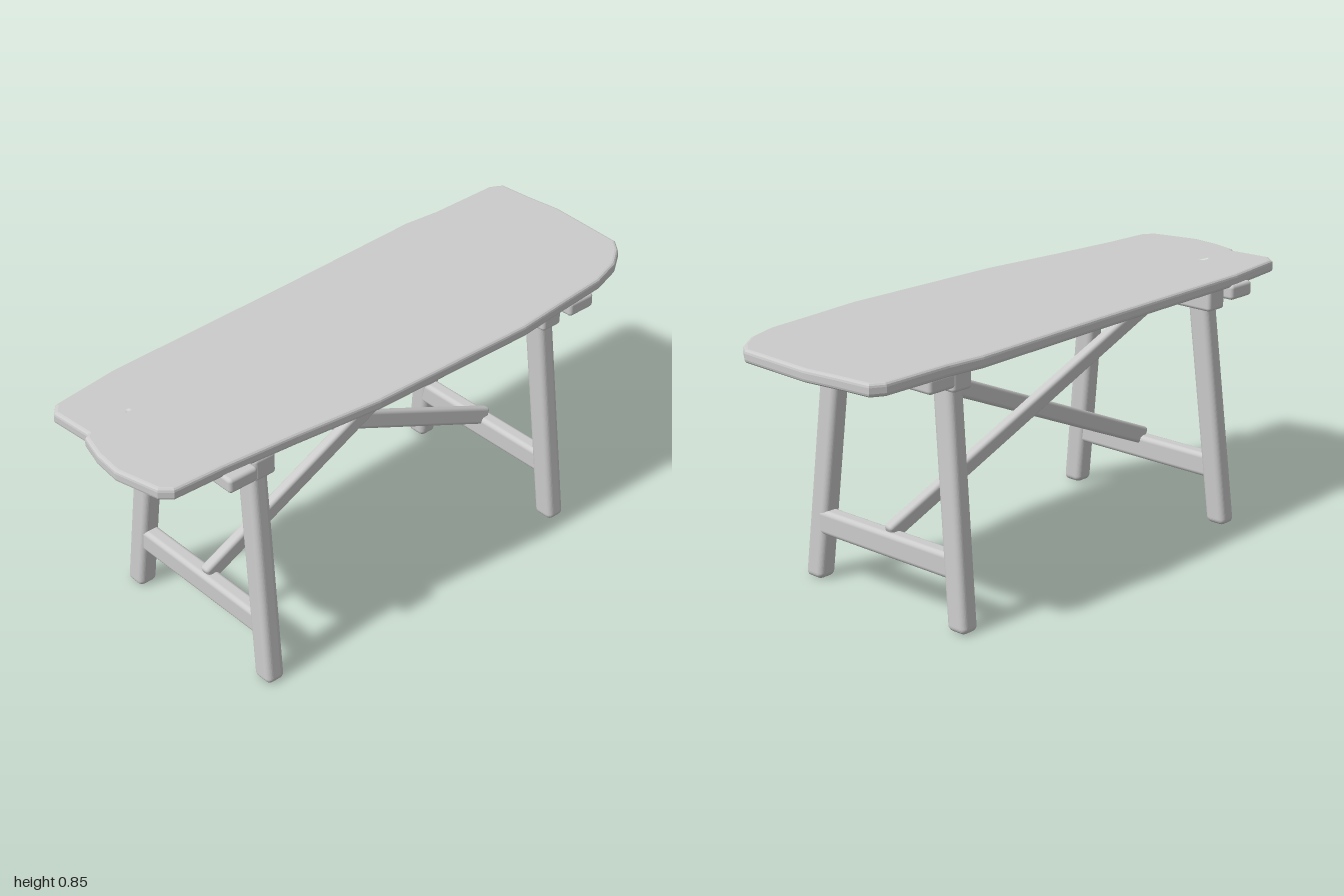
import * as THREE from 'three';
import { RoundedBoxGeometry } from 'three/addons/geometries/RoundedBoxGeometry.js';

const wood = new THREE.MeshStandardMaterial({ color: 0xcccccc });
const V = (x, y, z) => new THREE.Vector3(x, y, z);

function add(group, name, geometry) {
  const mesh = new THREE.Mesh(geometry, wood);
  mesh.name = name;
  group.add(mesh);
  return mesh;
}

// Rounded block given by its low and high corners
function block(group, name, lo, hi, radius = 0.012) {
  const size = hi.clone().sub(lo);
  const mesh = add(group, name, new RoundedBoxGeometry(size.x, size.y, size.z, 3, radius));
  mesh.position.copy(lo).add(hi).multiplyScalar(0.5);
  return mesh;
}

// Splayed leg: an upright rounded post sheared so that foot and head stay level
function leg(group, name, foot, head) {
  const height = head.y - foot.y;
  const geometry = new RoundedBoxGeometry(0.068, height, 0.074, 4, 0.02);
  geometry.translate(0, height / 2, 0);
  const pos = geometry.attributes.position;
  for (let i = 0; i < pos.count; i++) {
    const t = pos.getY(i) / height;
    pos.setX(i, pos.getX(i) * (1 - 0.06 * t) + THREE.MathUtils.lerp(foot.x, head.x, t));
    pos.setZ(i, pos.getZ(i) * (1 + 0.06 * t) + THREE.MathUtils.lerp(foot.z, head.z, t));
  }
  geometry.computeVertexNormals();
  add(group, name, geometry);
}

// Straight bar between two points, its broad face towards the front
function bar(group, name, a, b, depth, thickness) {
  const dir = b.clone().sub(a);
  const geometry = new RoundedBoxGeometry(dir.length(), thickness, depth, 3, 0.012);
  const mesh = add(group, name, geometry);
  mesh.position.copy(a).add(b).multiplyScalar(0.5);
  mesh.quaternion.setFromUnitVectors(V(1, 0, 0), dir.normalize());
}

// Rough-sawn plank with worn corners and a knot hole
function plank(group) {
  const outline = [
    [-0.96, -0.25], [-0.93, -0.285], [-0.7, -0.315], [0, -0.335], [0.55, -0.357], [0.68, -0.345],
    [0.93, -0.345], [0.975, -0.32], [0.985, -0.2], [1, -0.08], [0.985, 0.19], [0.95, 0.235],
    [0.88, 0.285], [0.77, 0.32], [0.6, 0.335], [0.4, 0.355], [-0.2, 0.345], [-0.5, 0.312],
    [-0.75, 0.29], [-0.93, 0.282], [-0.965, 0.25], [-1, 0.1], [-0.99, 0], [-0.965, -0.09], [-0.95, -0.1],
  ];
  const knot = [[-0.82, -0.1], [-0.8, -0.13], [-0.775, -0.132], [-0.735, -0.103], [-0.75, -0.092]];
  const points = (list) => list.map(([x, z]) => new THREE.Vector2(x, -z));
  const shape = new THREE.Shape(points(outline));
  shape.holes.push(new THREE.Path(points(knot)));
  const bevel = 0.012;
  const geometry = new THREE.ExtrudeGeometry(shape, {
    depth: 0.042 - 2 * bevel, bevelThickness: bevel, bevelSize: bevel, bevelOffset: -bevel, bevelSegments: 3,
  });
  geometry.rotateX(-Math.PI / 2);
  geometry.translate(0, 0.808 + bevel, 0);
  // Slight warp: the left end sags a little
  const pos = geometry.attributes.position;
  for (let i = 0; i < pos.count; i++) pos.setY(i, pos.getY(i) + 0.004 * pos.getX(i));
  geometry.computeVertexNormals();
  add(group, 'tableTop', geometry);
}

export function createModel() {
  const group = new THREE.Group();
  plank(group);

  // Trestles: two splayed legs, head rail, low stretcher and a batten outside
  const trestles = [
    { name: 'right', side: -1, feet: [-0.635, -0.635], head: -0.612 },
    { name: 'left', side: 1, feet: [0.598, 0.612], head: 0.58 },
  ];
  for (const { name, side, feet, head } of trestles) {
    const trestle = new THREE.Group();
    trestle.name = name + 'Trestle';
    group.add(trestle);

    leg(trestle, 'frontLeg', V(feet[0], 0, 0.32), V(head, 0.79, 0.233));
    leg(trestle, 'backLeg', V(feet[1], 0, -0.32), V(head, 0.79, -0.233));
    block(trestle, 'headRail', V(head - 0.04, 0.738, -0.3), V(head + 0.04, 0.815, 0.3));
    const low = (feet[0] + feet[1]) / 2 - side * 0.005;
    block(trestle, 'stretcher', V(low - 0.028, 0.155, -0.295), V(low + 0.028, 0.236, 0.295), 0.016);
    const batten = side < 0 ? -0.712 : 0.688;
    block(trestle, 'batten', V(batten - 0.053, 0.765, -0.325), V(batten + 0.053, 0.815, 0.325));
  }

  // Crossed braces, from the low stretcher to the opposite head rail
  bar(group, 'frontBrace', V(-0.64, 0.228, 0.028), V(0.59, 0.748, -0.018), 0.038, 0.06);
  bar(group, 'backBrace', V(0.61, 0.228, -0.008), V(-0.62, 0.748, -0.045), 0.036, 0.06);
  return group;
}
